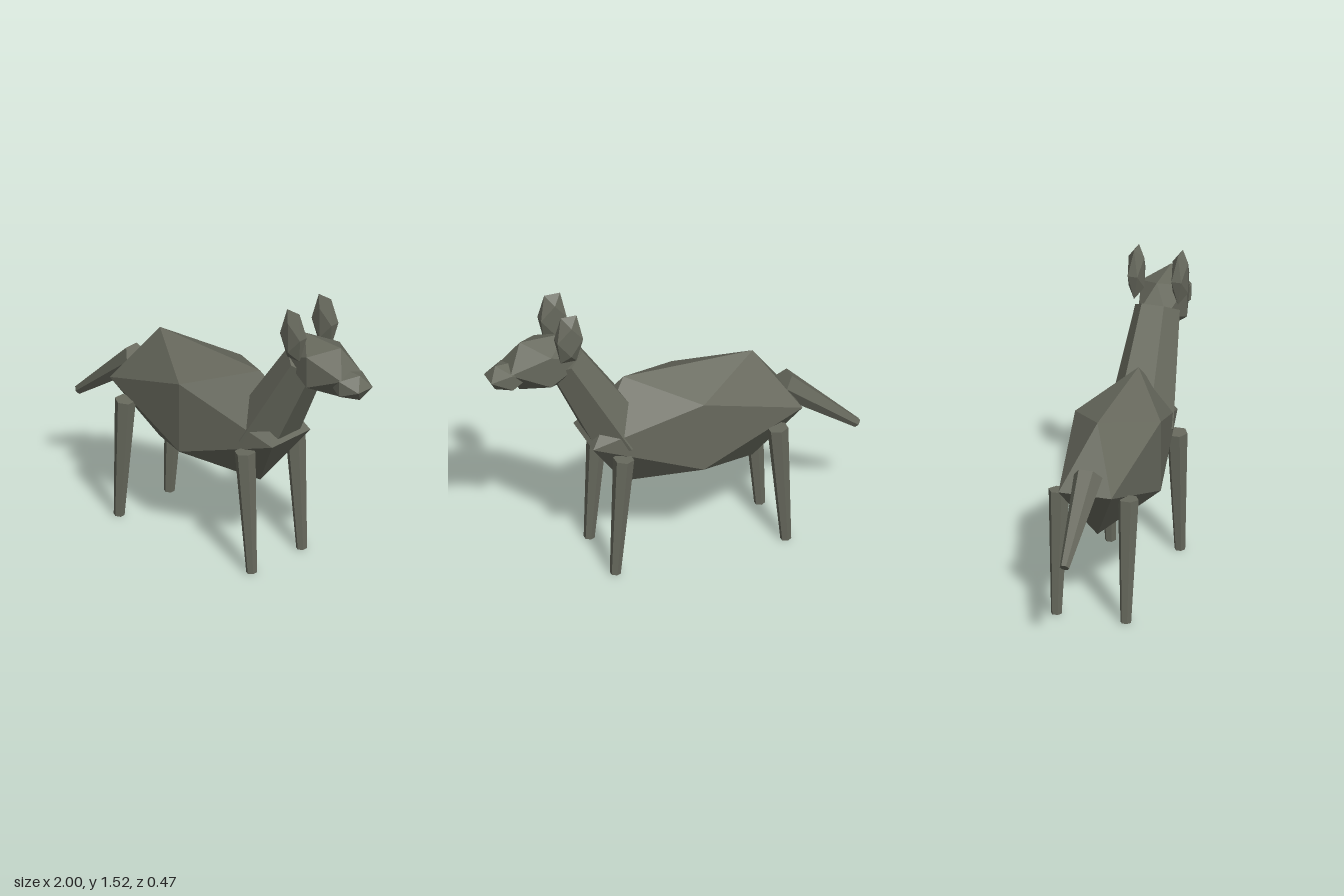
import * as THREE from 'three';

export function createModel() {
  const group = new THREE.Group();
  const hide = new THREE.MeshStandardMaterial({ color: 0x686a5e });
  hide.name = 'greyHide';
  hide.flatShading = true;

  const add = (name, geometry) => {
    const mesh = new THREE.Mesh(geometry, hide);
    mesh.name = name;
    group.add(mesh);
    return mesh;
  };

  // Faceted lump: a stretched icosahedron
  const lump = (name, position, scale) => {
    const geometry = new THREE.IcosahedronGeometry(1, 0);
    geometry.scale(...scale);
    add(name, geometry).position.set(...position);
  };

  // Tapered six-sided limb between two points at the same z
  const limb = (name, [x0, y0], [x1, y1], z, r0, r1, depth = 1) => {
    const dx = x1 - x0, dy = y1 - y0;
    const geometry = new THREE.CylinderGeometry(r1, r0, Math.hypot(dx, dy), 6);
    geometry.scale(depth, 1, 1);
    const mesh = add(name, geometry);
    mesh.position.set((x0 + x1) / 2, (y0 + y1) / 2, z);
    mesh.rotation.z = -Math.atan2(dx, dy);
  };

  // Body, neck, head and tail
  lump('body', [-0.08, 0.722, 0], [0.66, 0.361, 0.264]);
  limb('neck', [0.288, 0.7], [0.59, 1.217], 0, 0.175, 0.117, 0.94);
  lump('head', [0.7, 1.217, 0], [0.235, 0.162, 0.141]);
  lump('snout', [0.89, 1.177, 0], [0.124, 0.08, 0.098]);
  limb('tail', [-0.986, 0.477], [-0.583, 0.805], 0, 0.025, 0.075);

  // Ears and legs, mirrored across the spine
  for (const side of [1, -1]) {
    const label = side > 0 ? 'Near' : 'Far';
    lump('ear' + label, [0.605, 1.391, side * 0.115], [0.081, 0.157, 0.048]);
    limb('frontLeg' + label, [0.38, 0.002], [0.335, 0.665], side * 0.182, 0.028, 0.054);
    limb('hindLeg' + label, [-0.535, 0.002], [-0.492, 0.665], side * 0.182, 0.028, 0.054);
  }
  return group;
}
